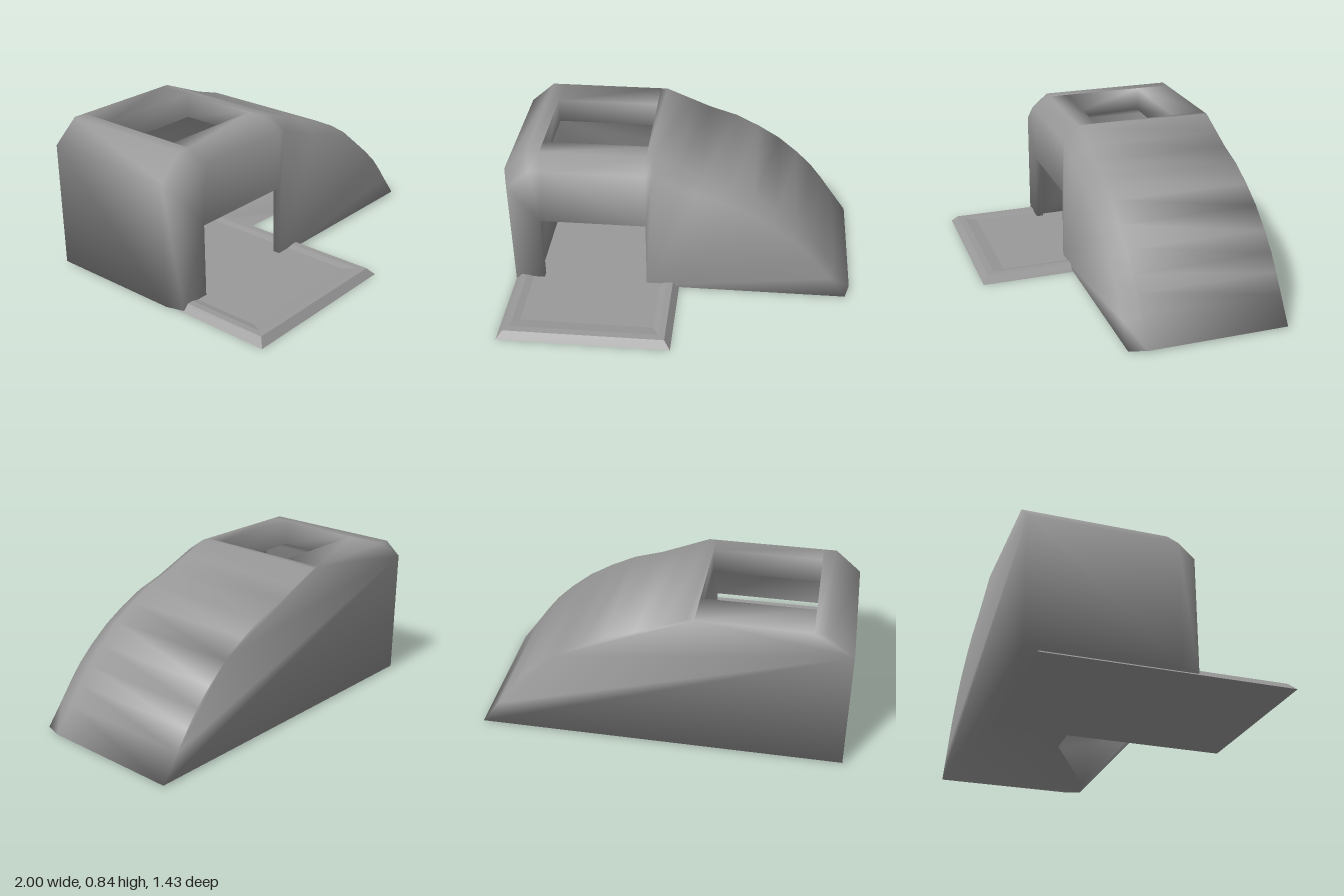
import * as THREE from 'three';
import { mergeGeometries, toCreasedNormals } from 'three/addons/utils/BufferGeometryUtils.js';

const BASE = 0.01;
const FRONT = 0.18, BEVEL = 0.08, BACK = -0.715;
const IN_FRONT = 0.14, IN_BACK = -0.6;
const HOLE = { x0: -0.79, x1: -0.19, z0: -0.03, z1: -0.51 };
const DOOR = [[-0.8, BASE], [-0.8, 0.44], [-0.19, 0.44], [-0.19, BASE]];

// Wall and roof outline, from the left foot over the top to the right tip
const OUTER = [[-1, BASE], [-1, 0.72], [-0.86, 0.843], [HOLE.x0, 0.843], [HOLE.x1, 0.843], [-0.15, 0.843],
  [0, 0.78], [0.12, 0.73], [0.28, 0.68], [0.42, 0.61], [0.55, 0.53], [0.67, 0.43], [0.76, 0.34],
  [0.83, 0.25], [0.9, 0.15], [1, BASE]];
const INNER = [[-0.83, BASE], [-0.83, 0.66], [-0.81, 0.7], [HOLE.x0, 0.7], [HOLE.x1, 0.7], [-0.17, 0.7],
  [0.1, 0.6], [0.3, 0.52], [0.5, 0.38], [0.66, 0.22], [0.8, BASE]];
// The front edge is drawn in to form the bevel
const RIM = OUTER.map(([x, y]) => [x * 0.972, BASE + (y - BASE) * 0.913]);
// Both outlines cross the roof opening between these two points
const HOLE_COLUMN = 3;

const at = (path, z) => path.map(([x, y]) => [x, y, z]);

// Non-indexed quads between consecutive rows; skip(column) leaves openings
function loft(rows, flip = false, skip = () => false) {
  const pos = [];
  for (let r = 0; r < rows.length - 1; r++) {
    for (let i = 0; i < rows[r].length - 1; i++) {
      if (skip(i)) continue;
      const a = rows[r][i], b = rows[r][i + 1], c = rows[r + 1][i + 1], d = rows[r + 1][i];
      const corners = flip ? [a, c, b, a, d, c] : [a, b, c, a, c, d];
      corners.forEach((p) => pos.push(...p));
    }
  }
  const g = new THREE.BufferGeometry();
  g.setAttribute('position', new THREE.Float32BufferAttribute(pos, 3));
  return g;
}

// Flat polygon facing +z, or -z when flipped
function flat(points, z, flip = false) {
  const shape = new THREE.Shape(points.map(([x, y]) => new THREE.Vector2(x, y)));
  const indexed = new THREE.ShapeGeometry(shape);
  if (flip) indexed.index.array.reverse();
  const g = indexed.toNonIndexed();
  g.deleteAttribute('uv');
  g.deleteAttribute('normal');
  return g.translate(0, 0, z);
}

// Walls and roof swept along an outline, leaving out the roof opening
function sweep(path, z0, z1, flip) {
  const strip = path.slice(HOLE_COLUMN, HOLE_COLUMN + 2);
  return [
    loft([at(path, z0), at(path, z1)], flip, (i) => i === HOLE_COLUMN),
    loft([at(strip, z0), at(strip, HOLE.z0)], flip),
    loft([at(strip, HOLE.z1), at(strip, z1)], flip),
  ];
}

// End wall from an outline down to the doorway
function doorWall(path, z, flip) {
  const target = path.map((p, i) => DOOR[i === 0 ? 0 : i <= HOLE_COLUMN ? 1 : i <= HOLE_COLUMN + 2 ? 2 : 3]);
  return loft([at(path, z), at(target, z)], flip);
}

function mesh(name, parts, crease) {
  const g = toCreasedNormals(mergeGeometries(parts), crease);
  const m = new THREE.Mesh(g, new THREE.MeshStandardMaterial({ color: 0x999999, side: THREE.DoubleSide }));
  m.name = name;
  return m;
}

function createShell() {
  const outside = [
    loft([at(RIM, FRONT), at(OUTER, BEVEL)]),
    ...sweep(OUTER, BEVEL, BACK, false),
    doorWall(RIM, FRONT, true),
    flat(OUTER, BACK, true),
  ];
  const inside = [
    ...sweep(INNER, IN_FRONT, IN_BACK, true),
    doorWall(INNER, IN_FRONT, false),
    flat(INNER, IN_BACK),
  ];

  // Walls of the doorway and of the roof opening
  const doorway = loft([at(DOOR, FRONT), at(DOOR, IN_FRONT)], true);
  const ring = [[HOLE.x1, HOLE.z1], [HOLE.x0, HOLE.z1], [HOLE.x0, HOLE.z0], [HOLE.x1, HOLE.z0], [HOLE.x1, HOLE.z1]];
  const shaft = loft([0.843, 0.7].map((y) => ring.map(([x, z]) => [x, y, z])));

  // Underside, open below the front of the room
  const foot = flat([[-0.8, FRONT], [-0.972, FRONT], [-1, BEVEL], [-1, BACK], [1, BACK], [1, BEVEL], [0.972, FRONT],
    [-0.19, FRONT], [-0.19, IN_FRONT], [0.8, IN_FRONT], [0.21, -0.19], [-0.3, -0.2], [-0.3, IN_BACK],
    [-0.83, IN_BACK], [-0.83, IN_FRONT], [-0.8, IN_FRONT]], 0).rotateX(Math.PI / 2).translate(0, BASE, 0);

  // Shaded smoothly across all edges
  return mesh('shelterShell', [...outside, ...inside, doorway, shaft, foot], Math.PI);
}

// Bevelled floor slab with a shallow recess in its top
function createSlab() {
  const rect = (inset, y, insetZ = inset) => {
    const x0 = -0.975 + inset, x1 = -inset, z0 = -0.64 + insetZ, z1 = 0.715 - insetZ;
    return [[x0, y, z1], [x1, y, z1], [x1, y, z0], [x0, y, z0], [x0, y, z1]];
  };
  const rings = [rect(0, 0), rect(0.035, 0.04), rect(0.07, 0.04, 0.075), rect(0.11, 0.03, 0.145)];
  const cap = (ring, flip) => loft([[ring[0], ring[1]], [ring[3], ring[2]]], flip);
  return mesh('floorSlab', [loft(rings), cap(rings[3], false), cap(rings[0], true)], 0.1);
}

export function createModel() {
  const model = new THREE.Group();
  model.name = 'shelterWithFloor';
  model.add(createShell(), createSlab());
  return model;
}
